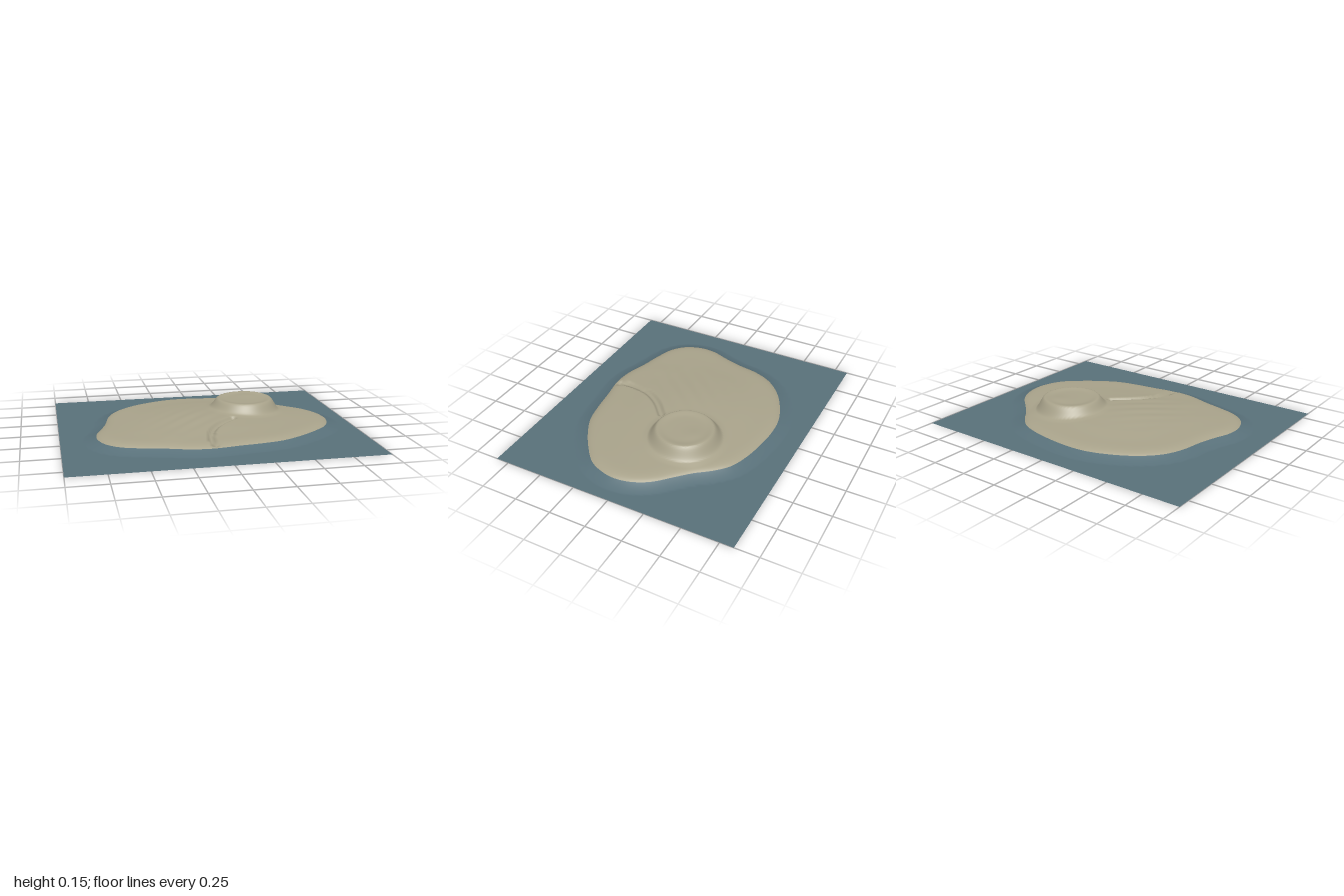
import * as THREE from 'three';

const HALF_X = 1, HALF_Z = 0.84;

// Coastline as [x, z], running round the island, smoothed by a closed curve
const coast = new THREE.CatmullRomCurve3([
  [0.84, 0.06], [0.82, -0.06], [0.76, -0.17], [0.66, -0.27], [0.57, -0.36], [0.49, -0.46],
  [0.40, -0.54], [0.27, -0.59], [0.12, -0.62], [-0.04, -0.635], [-0.18, -0.625], [-0.34, -0.57],
  [-0.48, -0.49], [-0.59, -0.38], [-0.65, -0.25], [-0.68, -0.10], [-0.72, 0.03], [-0.76, 0.14],
  [-0.765, 0.25], [-0.72, 0.37], [-0.63, 0.45], [-0.50, 0.495], [-0.36, 0.53], [-0.22, 0.575],
  [-0.08, 0.59], [0.10, 0.565], [0.26, 0.545], [0.40, 0.515], [0.53, 0.45], [0.66, 0.36],
  [0.77, 0.26], [0.82, 0.16],
].map(([x, z]) => new THREE.Vector3(x, 0, z)), true).getPoints(128);

// Stream bed running from the hill to the shore
const stream = new THREE.CatmullRomCurve3([
  [0.17, 0.09], [0.06, 0.19], [-0.02, 0.31], [-0.055, 0.45], [-0.05, 0.60],
].map(([x, z]) => new THREE.Vector3(x, 0, z))).getPoints(16);

// Distance from a point to a polyline
function distanceTo(line, x, z) {
  let best = Infinity;
  for (let i = 0; i < line.length - 1; i++) {
    const a = line[i], dx = line[i + 1].x - a.x, dz = line[i + 1].z - a.z;
    const t = Math.min(1, Math.max(0, ((x - a.x) * dx + (z - a.z) * dz) / (dx * dx + dz * dz || 1)));
    best = Math.min(best, Math.hypot(x - a.x - t * dx, z - a.z - t * dz));
  }
  return best;
}

// Distance from the middle of the island to the shore in a direction
function coastRadius(angle) {
  const c = Math.cos(angle), s = Math.sin(angle);
  for (let i = 0; i < coast.length - 1; i++) {
    const a = coast[i], b = coast[i + 1];
    const sa = c * a.z - s * a.x, sb = c * b.z - s * b.x;
    if (sa * sb > 0 || sa === sb) continue;
    const t = sa / (sa - sb);
    const r = c * (a.x + t * (b.x - a.x)) + s * (a.z + t * (b.z - a.z));
    if (r > 0) return r;
  }
  return 0.6;
}

const smooth = THREE.MathUtils.smoothstep;
const bump = (x, z, cx, cz, w) => Math.exp(-((x - cx) ** 2 + (z - cz) ** 2) / (w * w));

// Height of the terrain
function height(x, z) {
  const inside = Math.hypot(x, z) < coastRadius(Math.atan2(z, x));
  const d = distanceTo(coast, x, z) * (inside ? 1 : -1);
  // shore slope
  let y = 0;
  if (d > -0.085) {
    const t = (d + 0.085) / 0.085;
    y = d < 0 ? 0.03 * t * (0.6 + 0.4 * t) : 0.03 + 0.023 * (1 - Math.exp(-d / 0.032));
  }
  if (d <= 0) return y;
  // gentle inland rise, a low knoll and faint diagonal ridges
  const inland = smooth(d, 0, 0.3);
  y += inland * (0.03 * bump(x, z, -0.08, -0.02, 0.38) + 0.012 * bump(x, z, 0.32, -0.17, 0.4));
  y += 0.004 * bump(x, z, -0.3, 0.37, 0.09);
  y += 0.0018 * Math.sin((x + z) * 42) * bump(x, z, -0.12, 0.1, 0.22);
  // flat-topped hill with a raised rim and a small inner mound
  const r = Math.hypot(x - 0.315, z + 0.17);
  if (r < 0.29) {
    const top = 0.137 + 0.008 * Math.exp(-(((r - 0.185) / 0.035) ** 2))
      + 0.007 * bump(x, z, 0.36, -0.26, 0.08);
    const k = 0.8 * (1 - smooth(r, 0.185, 0.25)) + 0.2 * (1 - smooth(r, 0.19, 0.29));
    y += (top - y) * k;
  }
  // stream
  y -= 0.02 * (1 - smooth(distanceTo(stream, x, z), 0.006, 0.034)) * smooth(d, 0, 0.04);
  return y;
}

// Spokes reach points spaced evenly along the four sides of the sheet
const spokes = [];
const corners = [[1, -1], [1, 1], [-1, 1], [-1, -1]];
const PER_SIDE = 56;
corners.forEach(([ax, az], k) => {
  const [bx, bz] = corners[(k + 1) % 4];
  for (let i = 0; i < PER_SIDE; i++) {
    const t = i / PER_SIDE;
    const x = HALF_X * (ax + (bx - ax) * t), z = HALF_Z * (az + (bz - az) * t);
    const share = coastRadius(Math.atan2(z, x)) / Math.hypot(x, z);
    spokes.push({ x, z, share });
  }
});

// Terrain sheet in rings; place(share, t) gives the fraction along each spoke
function terrain(rings, place) {
  const pos = [], nor = [], idx = [], n = spokes.length, e = 0.004;
  const normal = new THREE.Vector3();
  for (let j = 0; j <= rings; j++) {
    for (const s of spokes) {
      const f = place(s.share, j / rings), x = s.x * f, z = s.z * f;
      pos.push(x, height(x, z), z);
      normal.set(height(x - e, z) - height(x + e, z), 2 * e, height(x, z - e) - height(x, z + e));
      normal.normalize();
      nor.push(normal.x, normal.y, normal.z);
    }
  }
  for (let j = 0; j < rings; j++) {
    for (let i = 0; i < n; i++) {
      const a = j * n + i, b = j * n + (i + 1) % n;
      idx.push(a, b, a + n, b, b + n, a + n);
    }
  }
  const g = new THREE.BufferGeometry();
  g.setAttribute('position', new THREE.Float32BufferAttribute(pos, 3));
  g.setAttribute('normal', new THREE.Float32BufferAttribute(nor, 3));
  g.setIndex(idx);
  return g;
}

export function createModel() {
  const landMaterial = new THREE.MeshStandardMaterial({ color: 0xa8a28a, side: THREE.DoubleSide });
  landMaterial.name = 'sandy land';
  const seaMaterial = new THREE.MeshStandardMaterial({ color: 0x587079, side: THREE.DoubleSide });
  seaMaterial.name = 'blue grey sea';

  const land = new THREE.Mesh(terrain(90, (share, t) => share * t), landMaterial);
  land.name = 'island';
  const sea = new THREE.Mesh(terrain(26, (share, t) => share + (1 - share) * t ** 1.7), seaMaterial);
  sea.name = 'seabed';

  const group = new THREE.Group();
  group.name = 'islandTerrain';
  group.add(land, sea);
  return group;
}
